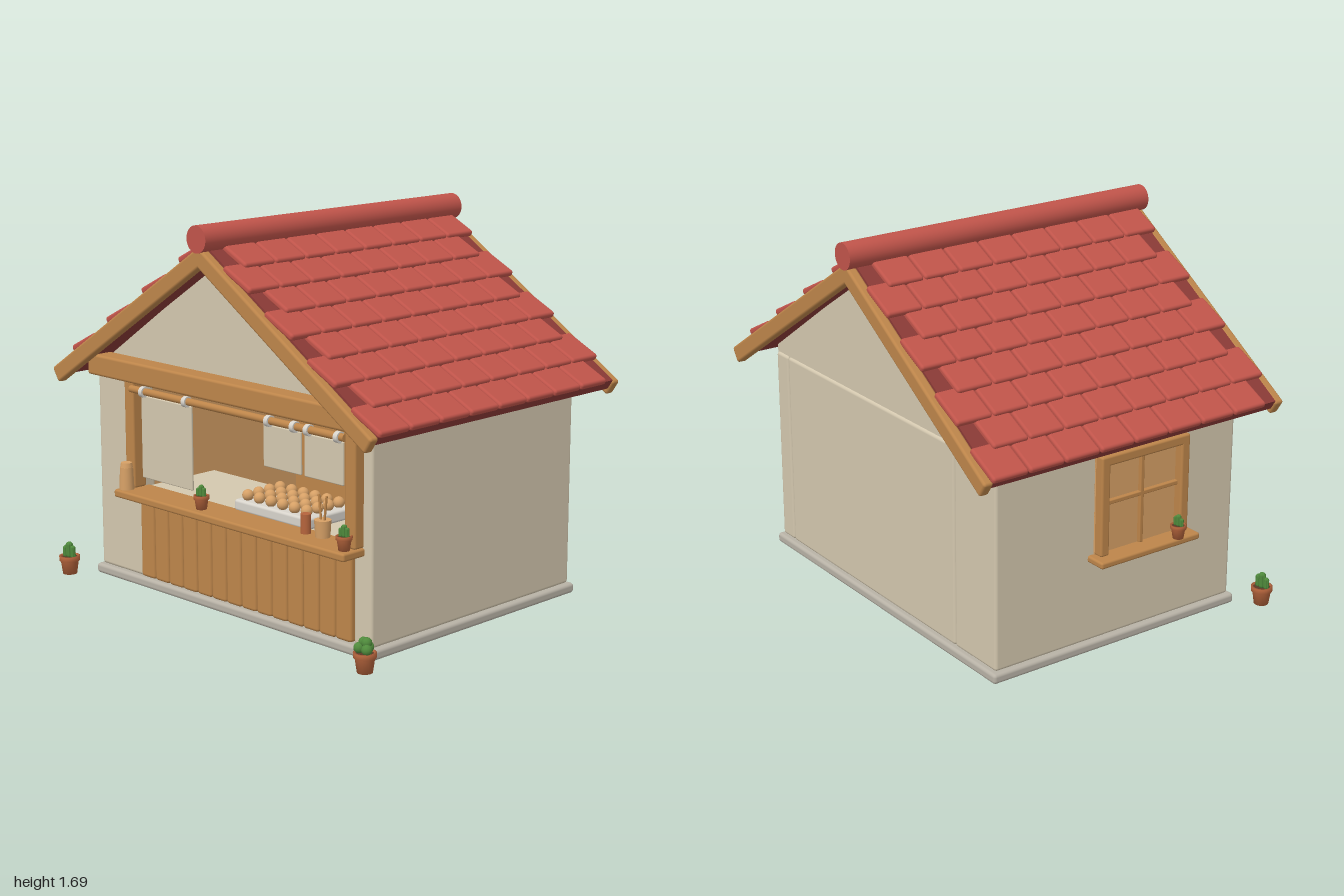
import * as THREE from 'three';
import { RoundedBoxGeometry } from 'three/addons/geometries/RoundedBoxGeometry.js';

const mat = (name, color) => Object.assign(new THREE.MeshStandardMaterial({ color }), { name });
const M = {
  plaster: mat('plaster', 0xd3c7ae),
  stone: mat('stone', 0xb8b2a6),
  wood: mat('wood', 0xbd854a),
  lightWood: mat('light wood', 0xd6a066),
  tile: mat('roof tile', 0xc0544a),
  roofBase: mat('roof base', 0x8a3a36),
  clay: mat('clay', 0xb5643c),
  soil: mat('soil', 0x5a3a26),
  green: mat('plant green', 0x4f8a3c),
  white: mat('off white', 0xd8d4cc),
};

function add(parent, name, geometry, material, x = 0, y = 0, z = 0) {
  const mesh = new THREE.Mesh(geometry, material);
  mesh.name = name;
  mesh.position.set(x, y, z);
  parent.add(mesh);
  return mesh;
}

// Box given by its minimum and maximum on each axis, with softened edges
function block(parent, name, material, x0, x1, y0, y1, z0, z1, r = 0.01) {
  const w = x1 - x0, h = y1 - y0, d = z1 - z0;
  const g = r > 0
    ? new RoundedBoxGeometry(w, h, d, 2, Math.min(r, w * 0.45, h * 0.45, d * 0.45))
    : new THREE.BoxGeometry(w, h, d);
  return add(parent, name, g, material, (x0 + x1) / 2, (y0 + y1) / 2, (z0 + z1) / 2);
}

const rod = (r0, r1, h) => new THREE.CylinderGeometry(r0, r1, h, 20);

function createShell(g) {
  block(g, 'baseSlab', M.stone, -0.87, 0.87, 0, 0.045, -0.65, 0.65, 0.015);
  block(g, 'floor', M.plaster, -0.8, 0.8, 0.04, 0.06, -0.6, 0.6, 0);
  // Side walls
  for (const s of [-1, 1]) {
    block(g, 'sideWall', M.plaster, s * 0.82 - 0.03, s * 0.82 + 0.03, 0.045, 0.95, -0.63, 0.63, 0.015);
    block(g, 'sideLining', M.lightWood, s * 0.785 - 0.005, s * 0.785 + 0.005, 0.06, 0.93, -0.58, 0.56, 0);
  }
  // Corner pieces at front and back, with the solid back panel between
  for (const s of [-1, 1]) {
    const z0 = s > 0 ? 0.55 : -0.63;
    block(g, 'wideCorner', M.plaster, -0.85, -0.56, 0.045, 0.95, z0, z0 + 0.08, 0.015);
    block(g, 'narrowCorner', M.plaster, 0.75, 0.85, 0.045, 0.95, z0, z0 + 0.08, 0.015);
  }
  block(g, 'backWall', M.plaster, -0.56, 0.75, 0.045, 0.95, -0.63, -0.56, 0.015);
  block(g, 'backLining', M.lightWood, -0.78, 0.78, 0.06, 0.93, -0.56, -0.545, 0);
  block(g, 'lowerBackLining', M.wood, -0.78, 0.78, 0.06, 0.64, -0.545, -0.537, 0);
  block(g, 'backShelf', M.wood, -0.78, 0.78, 0.64, 0.66, -0.55, -0.43);
  // Gable block under the roof
  const tri = new THREE.Shape([[-0.85, 0.93], [0.85, 0.93], [0.85, 0.98], [0, 1.56], [-0.85, 0.98]]
    .map(p => new THREE.Vector2(...p)));
  add(g, 'gable', new THREE.ExtrudeGeometry(tri, { depth: 1.22, bevelEnabled: false }), M.plaster, 0, 0, -0.62);
}

function createRoofSide() {
  const side = new THREE.Group();
  side.name = 'roofSide';
  // Local x runs down the slope, local y is its normal
  const slope = new THREE.Group();
  slope.position.y = 1.6;
  slope.rotation.z = -Math.atan(0.65);
  side.add(slope);
  block(slope, 'roofDeck', M.roofBase, 0, 1.17, -0.045, 0.004, -0.735, 0.735, 0);
  for (const z of [-0.757, 0.757])
    block(slope, 'bargeBoard', M.wood, 0, 1.18, -0.075, 0, z - 0.023, z + 0.023, 0.012);
  // Staggered tile rows
  const tile = new RoundedBoxGeometry(0.18, 0.03, 0.17, 2, 0.012);
  for (let row = 0; row < 8; row++)
    for (let i = 0; i < 8; i++) {
      const z = (row % 2 ? 0.582 : 0.67) - i * 0.177;
      const t = add(slope, 'roofTile', tile, M.tile, 1.1 - row * 0.144, 0.014, z);
      t.rotation.z = 0.11;
    }
  return side;
}

function createPot(parent, x, y, z, s, round) {
  const p = new THREE.Group();
  p.name = round ? 'roundPlantPot' : 'cactusPot';
  p.position.set(x, y, z);
  p.scale.setScalar(s);
  parent.add(p);
  const profile = [[0, 0], [0.032, 0], [0.041, 0.06], [0.047, 0.062], [0.048, 0.083], [0.04, 0.085], [0.038, 0.074]];
  const pot = new THREE.LatheGeometry(profile.map(q => new THREE.Vector2(...q)), 24);
  add(p, 'pot', pot, M.clay);
  add(p, 'soil', rod(0.039, 0.039, 0.005), M.soil, 0, 0.074, 0);
  if (round) {
    for (const [a, b, c, r] of [[-0.022, 0.1, 0.012, 0.022], [0.022, 0.1, 0.012, 0.023], [0, 0.1, -0.02, 0.023],
      [0.01, 0.125, 0, 0.022], [-0.014, 0.122, -0.006, 0.02]])
      add(p, 'leafBall', new THREE.SphereGeometry(r, 14, 10), M.green, a, b, c);
  } else {
    // Ribbed stems
    for (const [a, c, h, r] of [[0, 0, 0.075, 0.015], [-0.021, 0.006, 0.055, 0.011], [0.021, -0.003, 0.06, 0.011]]) {
      const stem = new THREE.CapsuleGeometry(r, h - 2 * r, 6, 32);
      const v = stem.attributes.position;
      for (let i = 0; i < v.count; i++) {
        const k = 1 + 0.13 * Math.cos(8 * Math.atan2(v.getZ(i), v.getX(i)));
        v.setXYZ(i, v.getX(i) * k, v.getY(i), v.getZ(i) * k);
      }
      stem.computeVertexNormals();
      add(p, 'cactusStem', stem, M.green, a, 0.073 + h / 2, c);
    }
  }
}

function createFront(g) {
  // Plank apron below the counter
  const n = 14, w = 1.31 / n;
  for (let i = 0; i < n; i++)
    block(g, 'counterPlank', M.wood, -0.56 + i * w + 0.002, -0.56 + (i + 1) * w - 0.002, 0.05, 0.42, 0.6, 0.645, 0.014);
  block(g, 'counterBody', M.plaster, -0.56, 0.75, 0.06, 0.455, 0.2, 0.6, 0);
  block(g, 'counterTop', M.wood, -0.61, 0.81, 0.425, 0.46, 0.58, 0.75);
  for (const x of [-0.58, 0.775])
    block(g, 'post', M.wood, x - 0.03, x + 0.03, 0.46, 0.95, 0.61, 0.68);
  block(g, 'frontBeam', M.wood, -0.85, 0.85, 0.935, 1.03, 0.59, 0.69, 0.012);
  // Curtain rail, rings and cloths
  add(g, 'curtainRail', rod(0.016, 0.016, 1.31), M.wood, 0.095, 0.91, 0.68).rotation.z = Math.PI / 2;
  for (const x of [-0.475, -0.195, 0.315, 0.465, 0.545, 0.715])
    add(g, 'curtainRing', rod(0.024, 0.024, 0.022), M.white, x, 0.908, 0.68).rotation.z = Math.PI / 2;
  for (const [x0, x1, y0] of [[-0.5, -0.17, 0.52], [0.275, 0.495, 0.71], [0.515, 0.735, 0.71]])
    block(g, 'curtain', M.plaster, x0, x1, y0, 0.89, 0.664, 0.676, 0.005);
}

function createGoods(g) {
  // Tray of buns
  block(g, 'tray', M.white, 0.01, 0.46, 0.455, 0.505, 0.34, 0.6, 0.012);
  for (let i = 0; i < 6; i++)
    for (let j = 0; j < 4; j++)
      add(g, 'bun', new THREE.SphereGeometry(0.025, 16, 10), M.lightWood, 0.06 + i * 0.071, 0.525, 0.375 + j * 0.063);
  // Jars and utensils
  add(g, 'clayJar', rod(0.022, 0.022, 0.085), M.clay, 0.487, 0.5, 0.64);
  add(g, 'utensilCup', rod(0.036, 0.031, 0.075), M.lightWood, 0.575, 0.495, 0.63);
  for (const s of [-1, 1])
    add(g, 'utensil', rod(0.005, 0.005, 0.14), M.wood, 0.575 + s * 0.014, 0.565, 0.63).rotation.z = -s * 0.12;
  add(g, 'woodenJar', rod(0.029, 0.033, 0.1), M.lightWood, -0.573, 0.51, 0.705);
  add(g, 'jarLid', rod(0.024, 0.028, 0.02), M.lightWood, -0.573, 0.57, 0.705);
  // Potted plants
  createPot(g, -0.09, 0.46, 0.695, 0.72, false);
  createPot(g, 0.77, 0.46, 0.705, 0.72, false);
  createPot(g, -0.93, 0.44, 0.26, 0.72, false);
  createPot(g, -0.945, 0, 0.745, 1, false);
  createPot(g, 0.925, 0, 0.745, 1, true);
}

function createWindow(g) {
  const z0 = -0.13, z1 = 0.34, y0 = 0.44, y1 = 0.885;
  block(g, 'windowPane', M.lightWood, -0.858, -0.85, y0, y1, z0, z1, 0);
  for (const z of [z0, z1 - 0.045])
    block(g, 'windowJamb', M.wood, -0.9, -0.84, y0, y1, z, z + 0.045);
  block(g, 'windowHead', M.wood, -0.9, -0.84, y1 - 0.045, y1, z0, z1);
  block(g, 'windowMullion', M.wood, -0.875, -0.85, y0, y1, 0.095, 0.115, 0.005);
  block(g, 'windowCrossbar', M.wood, -0.875, -0.85, 0.655, 0.675, z0, z1, 0.005);
  block(g, 'windowSill', M.wood, -0.945, -0.84, 0.41, 0.44, z0 - 0.03, z1 + 0.03);
}

export function createModel() {
  const g = new THREE.Group();
  g.name = 'foodStall';
  createShell(g);
  // Two roof slopes, one turned half round
  for (const turn of [0, Math.PI]) {
    const side = createRoofSide();
    side.rotation.y = turn;
    g.add(side);
  }
  add(g, 'ridgeCap', new THREE.CylinderGeometry(0.058, 0.058, 1.57, 32), M.tile, 0, 1.632, 0).rotation.x = Math.PI / 2;
  createFront(g);
  createGoods(g);
  createWindow(g);
  return g;
}
